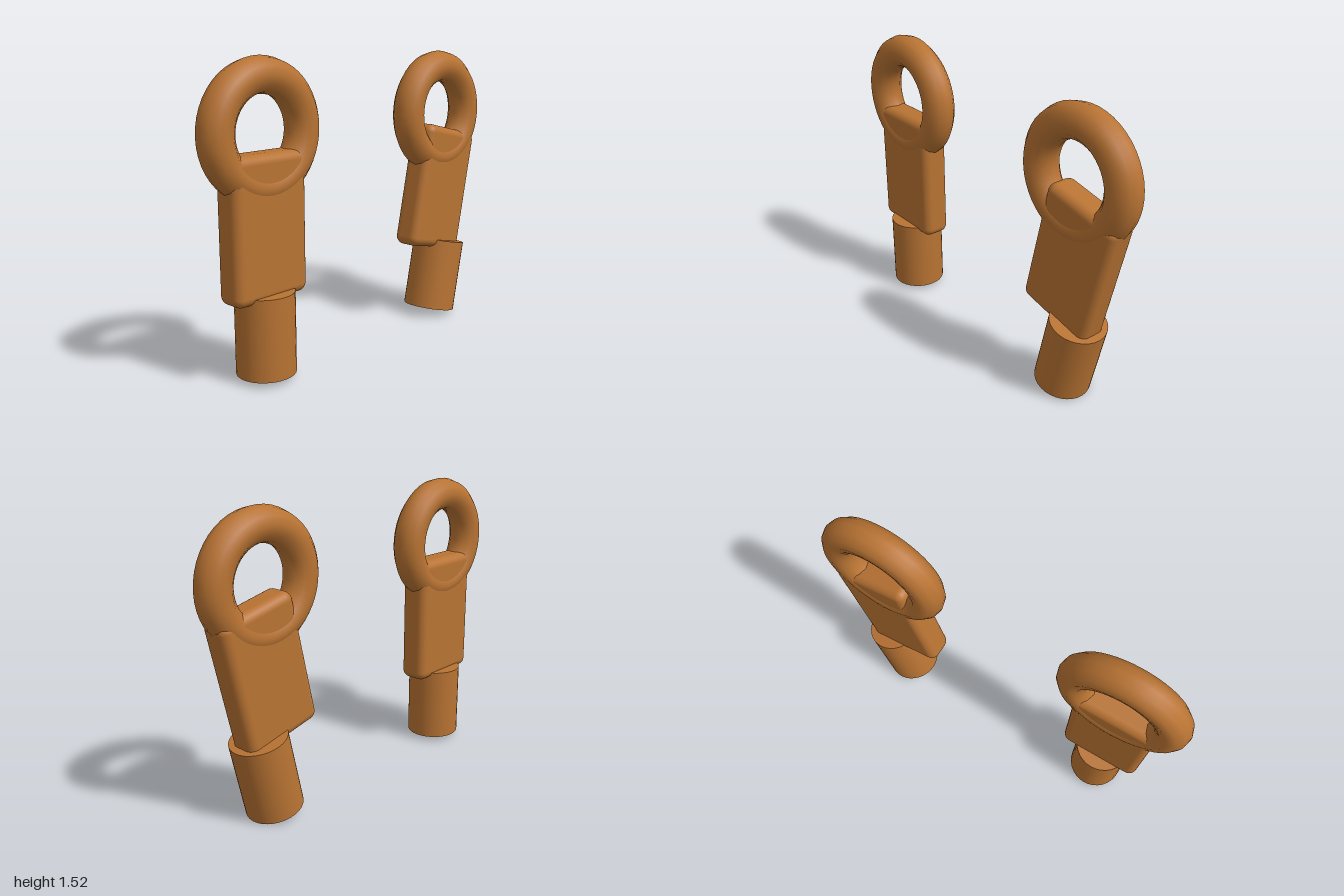
import * as THREE from 'three';
import { RoundedBoxGeometry } from 'three/addons/geometries/RoundedBoxGeometry.js';

export function createModel() {
  const copper = new THREE.MeshStandardMaterial({ color: 0xb87333 });

  // Ring, plate and peg; the plate and peg each lean about their own centre
  function ringedPeg(name, x, lean) {
    const group = new THREE.Group();
    group.name = name;
    group.position.x = x;

    const add = (partName, geometry, y, angle) => {
      const mesh = new THREE.Mesh(geometry, copper);
      mesh.name = partName;
      mesh.position.y = y;
      mesh.rotation.z = angle;
      group.add(mesh);
    };

    add('ring', new THREE.TorusGeometry(0.255, 0.086, 12, 48), 1.18, 0);
    add('plate', new RoundedBoxGeometry(0.434, 0.69, 0.157, 4, 0.045), 0.743, lean);
    add('peg', new THREE.CylinderGeometry(0.145, 0.145, 0.4, 32), 0.23, lean);
    return group;
  }

  const model = new THREE.Group();
  model.name = 'ringedPegPair';
  model.add(ringedPeg('rightUprightPeg', -0.659, 0));
  model.add(ringedPeg('leftLeaningPeg', 0.659, -0.22));
  return model;
}
